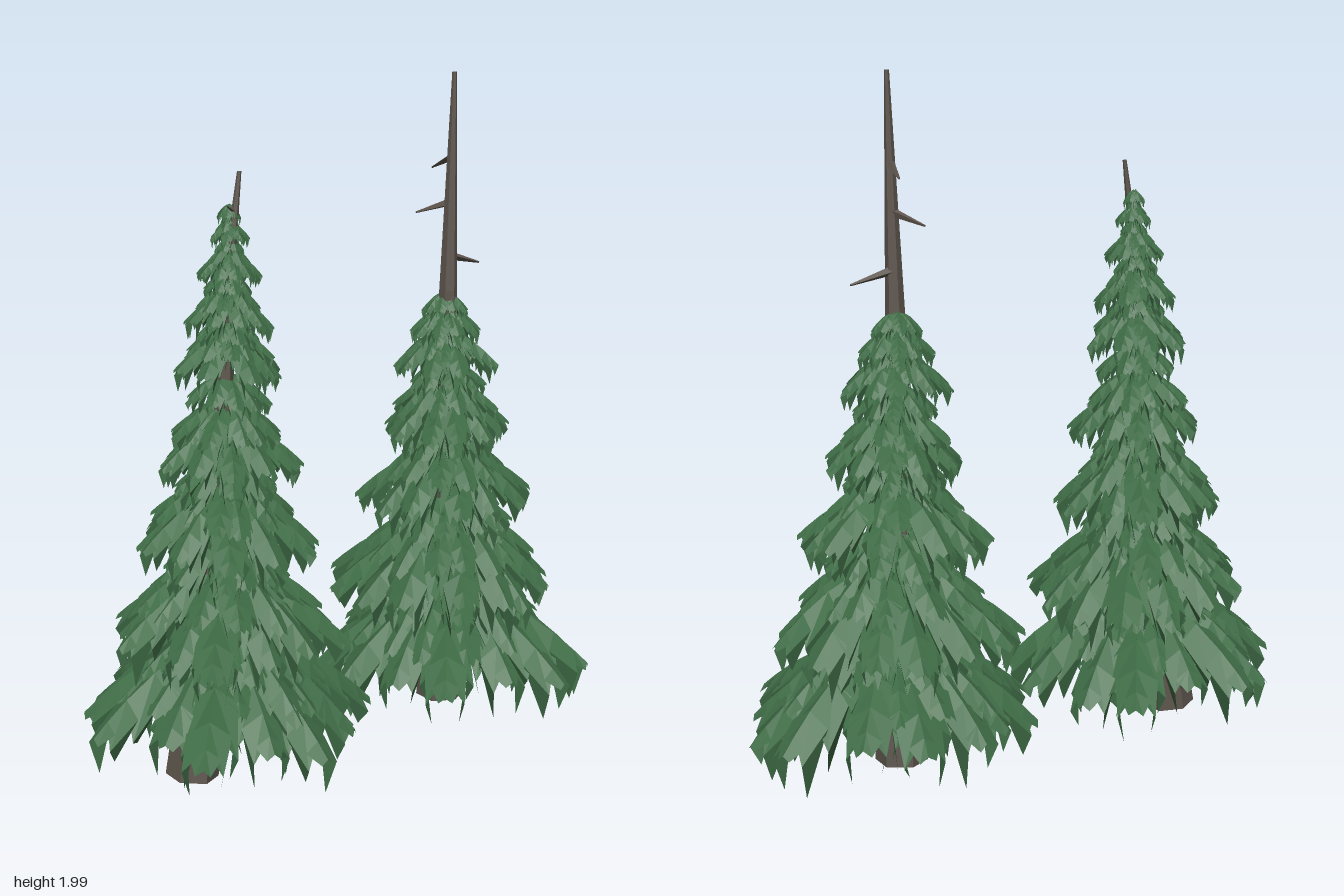
import * as THREE from 'three';

const needleGreen = new THREE.MeshStandardMaterial({ color: 0x3f6c46, side: THREE.DoubleSide, flatShading: true });
needleGreen.name = 'needleGreen';
const barkBrown = new THREE.MeshStandardMaterial({ color: 0x5f564e, flatShading: true });
barkBrown.name = 'barkBrown';

// Small seeded random generator
function seeded(seed) {
  let s = seed;
  return () => {
    s = (s * 1664525 + 1013904223) % 4294967296;
    return s / 4294967296;
  };
}

// Tapered faceted rod between two points
function rod(name, from, to, r0, r1, sides) {
  const a = new THREE.Vector3(...from), b = new THREE.Vector3(...to);
  const dir = b.clone().sub(a);
  const mesh = new THREE.Mesh(new THREE.CylinderGeometry(r1, r0, dir.length(), sides), barkBrown);
  mesh.name = name;
  mesh.position.copy(a).add(b).multiplyScalar(0.5);
  mesh.quaternion.setFromUnitVectors(new THREE.Vector3(0, 1, 0), dir.normalize());
  return mesh;
}

// One arching frond: a ridge with a broad flap on each side, saw-toothed toward the tip
const STATIONS = [0, 0.3, 0.55, 0.76, 0.9, 1];
const WIDTHS = [0.5, 0.8, 1, 0.95, 0.65, 0.25];
function addFrond(out, { yaw, rootY, length, drop, half, rnd }) {
  const c = Math.cos(yaw), s = Math.sin(yaw);
  const point = (t, side, sag) => {
    const r = t * length;
    const y = rootY - drop * (0.15 * t + 0.85 * t * t) - sag;
    return [r * c - side * s, y, r * s + side * c];
  };
  for (let i = 0; i < STATIONS.length - 1; i++) {
    const t0 = STATIONS[i], t1 = STATIONS[i + 1];
    const ridge0 = point(t0, 0, 0), ridge1 = point(t1, 0, 0);
    for (const m of [-1, 1]) {
      const w0 = WIDTHS[i] * half, w1 = WIDTHS[i + 1] * half;
      const inner = point(t0, m * w0 * 0.85, w0 * 0.5);
      const tooth = point(Math.min(t1 + 0.06, 1), m * w1 * (0.95 + 0.25 * rnd()), w1 * (0.6 + 0.4 * rnd()));
      const tris = m > 0 ? [ridge0, inner, tooth, ridge0, tooth, ridge1] : [ridge0, tooth, inner, ridge0, ridge1, tooth];
      for (const p of tris) out.push(...p);
      // Needle fringe hanging below the flap
      if (i > 0 && i < 4) {
        out.push(...inner, ...point(t1, m * w1 * 0.8, half * (1.3 + 0.9 * rnd())), ...tooth);
      }
    }
  }
}

// Ring of fronds whose tips lie near the given height and radius
function tier(name, radius, count, phase, rnd) {
  const out = [];
  const drop = radius * 0.5 + 0.015;
  for (let i = 0; i < count; i++) {
    const sideways = (i * 2) % count === 0;
    addFrond(out, {
      yaw: ((i + phase + (sideways ? 0 : (rnd() - 0.5) * 0.5)) / count) * Math.PI * 2,
      rootY: drop + (rnd() - 0.5) * radius * 0.1,
      length: radius * (sideways ? 1.01 : 0.86 + 0.22 * rnd()),
      drop: drop * (0.94 + 0.14 * rnd()),
      half: radius * 0.16 + 0.01,
      rnd,
    });
  }
  const geo = new THREE.BufferGeometry();
  geo.setAttribute('position', new THREE.Float32BufferAttribute(out, 3));
  geo.computeVertexNormals();
  const mesh = new THREE.Mesh(geo, needleGreen);
  mesh.name = name;
  return mesh;
}

// All main tiers, with shorter filler tiers between them
function canopy(tiers, bottomX, topX, roll, seed) {
  const group = new THREE.Group();
  group.name = 'canopy';
  const rnd = seeded(seed);
  const y0 = tiers[0][0], topY = tiers[tiers.length - 1][0];
  const place = (name, y, r, n, phase) => {
    const ring = tier(name, r, n, phase, rnd);
    ring.position.set(bottomX + (topX - bottomX) * ((y - y0) / (topY - y0)), y, 0.005);
    ring.rotation.z = roll;
    group.add(ring);
  };
  tiers.forEach(([y, r], i) => {
    const n = 2 * Math.round(4 + r * 8);
    place('branchTier', y, r, n, 0);
    if (i < tiers.length - 1) {
      const [y1, r1] = tiers[i + 1];
      place('fillerTier', y + (y1 - y) * 0.32, r * 0.5 + r1 * 0.32, n, 0.5);
      place('innerTier', y + (y1 - y) * 0.68, r1 * 0.74, n - 2, 0.25);
    }
  });
  return group;
}

export function createModel() {
  const model = new THREE.Group();
  model.name = 'coniferPair';

  // Leaning full tree
  const leaning = new THREE.Group();
  leaning.name = 'leaningTree';
  leaning.add(rod('trunk', [-0.55, 0.02, 0], [-0.445, 0.85, 0.01], 0.077, 0.034, 6));
  leaning.add(rod('upperTrunk', [-0.445, 0.85, 0.01], [-0.395, 1.55, 0.02], 0.034, 0.014, 6));
  leaning.add(rod('trunkTip', [-0.395, 1.55, 0.02], [-0.366, 1.75, 0.02], 0.014, 0.006, 6));
  leaning.add(rod('topTwig', [-0.38, 1.64, 0.02], [-0.415, 1.66, 0.03], 0.007, 0.002, 4));
  leaning.add(canopy([
    [0.2, 0.425], [0.43, 0.345], [0.71, 0.27], [0.94, 0.21], [1.2, 0.165],
    [1.34, 0.125], [1.47, 0.09], [1.57, 0.055], [1.63, 0.032],
  ], -0.44, -0.39, -0.055, 11));
  model.add(leaning);

  // Upright tree with a bare dead top
  const upright = new THREE.Group();
  upright.name = 'bareTopTree';
  upright.add(rod('trunk', [0.405, 0.02, 0], [0.397, 1.35, 0.02], 0.077, 0.028, 6));
  upright.add(rod('bareTop', [0.397, 1.34, 0.02], [0.416, 2, 0.012], 0.028, 0.007, 6));
  upright.add(rod('deadBranch', [0.41, 1.75, 0.012], [0.44, 1.71, -0.11], 0.013, 0.003, 4));
  upright.add(rod('deadBranch', [0.405, 1.615, 0.012], [0.35, 1.58, -0.08], 0.013, 0.003, 4));
  upright.add(rod('deadBranch', [0.4, 1.455, 0.015], [0.54, 1.42, 0], 0.014, 0.003, 4));
  upright.add(canopy([
    [0.18, 0.43], [0.42, 0.36], [0.7, 0.27], [0.92, 0.205], [1.12, 0.165],
    [1.22, 0.115], [1.29, 0.075],
  ], 0.43, 0.4, 0, 29));
  model.add(upright);

  return model;
}
